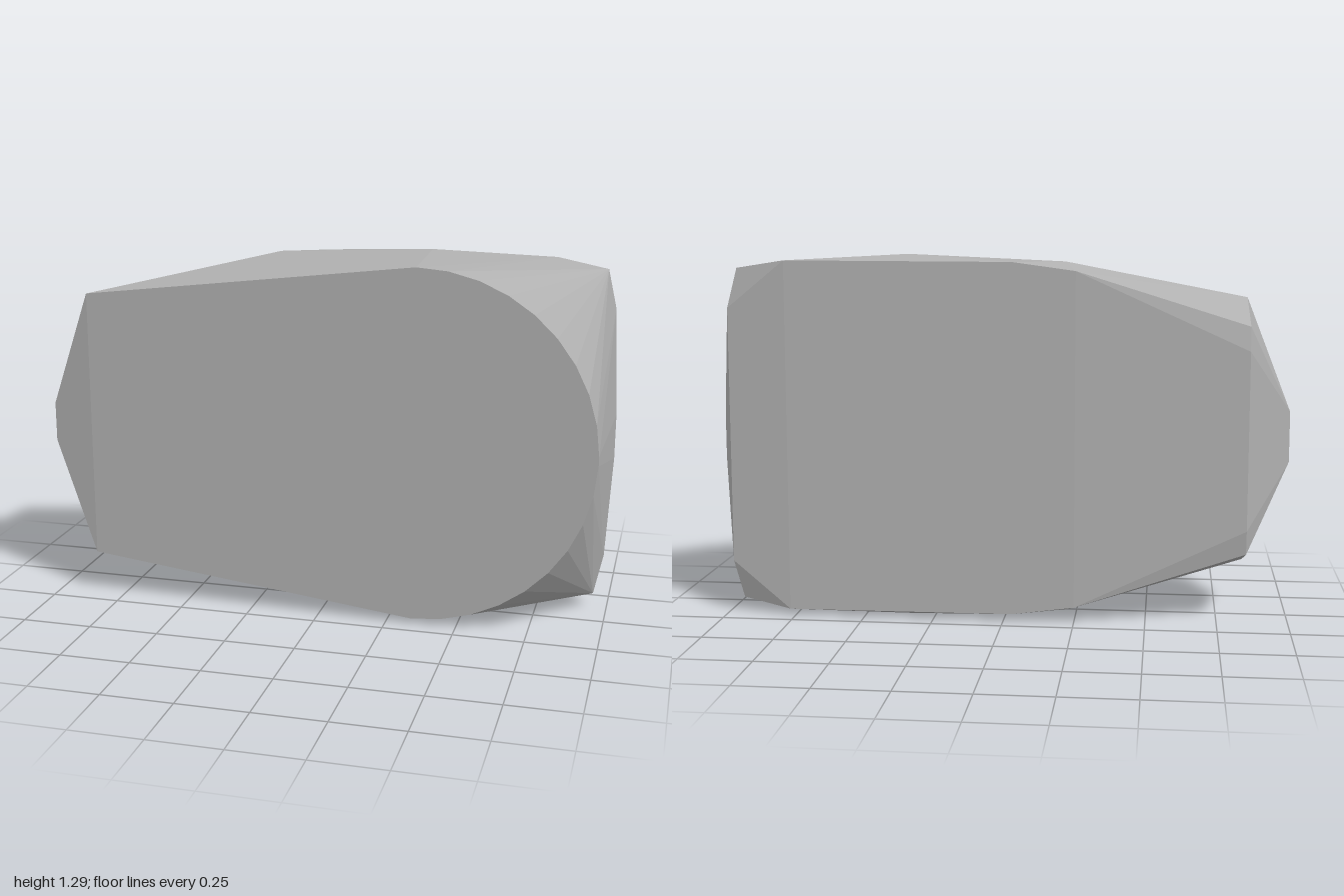
import * as THREE from 'three';
import { ConvexGeometry } from 'three/addons/geometries/ConvexGeometry.js';

export function createModel() {
  const group = new THREE.Group();
  const grey = new THREE.MeshStandardMaterial({ color: 0xb0b0b0 });
  grey.name = 'stone grey';

  const midY = 0.645;
  const points = [];
  // Adds a corner and its mirror image across the horizontal mid plane
  const pair = (x, halfHeight, z) => {
    points.push(new THREE.Vector3(x, midY + halfHeight, z));
    points.push(new THREE.Vector3(x, midY - halfHeight, z));
  };

  // Rounded end of the front face
  const segments = 9;
  for (let i = 0; i <= segments; i++) {
    const a = ((i + 0.15) / (segments + 0.15)) * Math.PI / 2;
    pair(0.34 + 0.63 * Math.cos(a), 0.627 * Math.sin(a), 0.185);
  }

  // Tapered end
  pair(-0.85, 0.485, 0.183);
  pair(-1, 0.07, 0.16);
  pair(-1, 0.09, 0.02);
  pair(-0.85, 0.4, -0.115);
  pair(-0.85, 0.315, -0.13);

  // Widest ridge along the upper and lower sides
  pair(-0.21, 0.62, -0.1);
  pair(0.34, 0.645, -0.115);
  pair(0.95, 0.595, -0.14);

  // Back face
  pair(-0.25, 0.59, -0.185);
  pair(-0.03, 0.62, -0.185);
  pair(0.77, 0.623, -0.185);

  // Blunt end
  pair(0.98, 0.455, -0.165);
  pair(1, 0.08, -0.15);

  const body = new THREE.Mesh(new ConvexGeometry(points), grey);
  body.name = 'body';
  group.add(body);
  return group;
}
